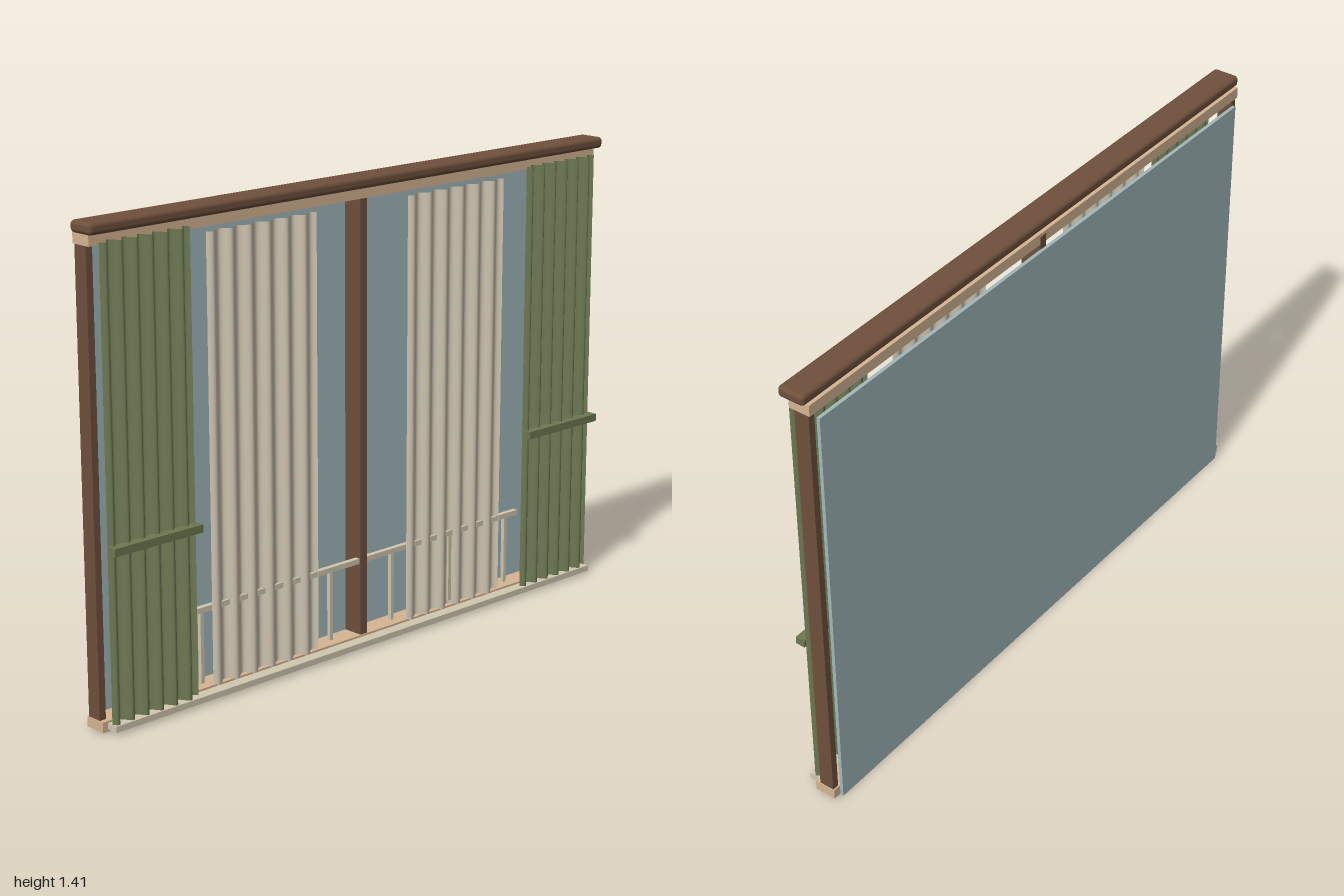
import * as THREE from 'three';
import { RoundedBoxGeometry } from 'three/addons/geometries/RoundedBoxGeometry.js';

const mat = (color, side = THREE.FrontSide) => new THREE.MeshStandardMaterial({ color, side });

export function createModel() {
  const group = new THREE.Group();
  const brown = mat(0x6f503c), tan = mat(0xd6b694), stone = mat(0xd2c8b0);
  const glass = mat(0xa2b8bb), olive = mat(0x6d7852);
  const oliveCloth = mat(0x6d7852, THREE.DoubleSide);
  const creamCloth = mat(0xd4c9b6, THREE.DoubleSide);

  const add = (name, geometry, material) => {
    const mesh = new THREE.Mesh(geometry, material);
    mesh.name = name;
    group.add(mesh);
    return mesh;
  };

  // Box given by its limits on each axis
  const box = (name, material, [x0, x1], [y0, y1], [z0, z1]) => {
    const mesh = add(name, new THREE.BoxGeometry(x1 - x0, y1 - y0, z1 - z0), material);
    mesh.position.set((x0 + x1) / 2, (y0 + y1) / 2, (z0 + z1) / 2);
    return mesh;
  };

  // Hanging cloth: a plane pushed into regular vertical folds
  const cloth = (name, material, [x0, x1], [y0, y1], z, depth, folds) => {
    const width = x1 - x0;
    const geometry = new THREE.PlaneGeometry(width, y1 - y0, folds * 12, 1);
    const p = geometry.attributes.position;
    for (let i = 0; i < p.count; i++) {
      const t = p.getX(i) / width + 0.5;
      p.setZ(i, depth * Math.sin(t * folds * Math.PI * 2));
    }
    geometry.computeVertexNormals();
    add(name, geometry, material).position.set((x0 + x1) / 2, (y0 + y1) / 2, z);
  };

  // Cornice and window frame
  const cornice = add('cornice', new RoundedBoxGeometry(2, 0.034, 0.085, 3, 0.012), brown);
  cornice.position.set(0, 1.395, -0.003);
  box('topBeam', tan, [-0.985, 0.985], [1.346, 1.38], [-0.052, 0.015]);
  box('bottomBeam', tan, [-0.985, 0.985], [0.003, 0.034], [-0.052, 0.015]);
  box('centrePost', brown, [-0.013, 0.013], [0.01, 1.37], [-0.053, 0.012]);
  box('frontSill', stone, [-0.967, 0.967], [0.01, 0.028], [0.015, 0.052]);

  // Glass behind the frame
  box('glassPane', glass, [-0.96, 0.96], [0, 1.33], [-0.063, -0.052]);

  // Low railing behind the curtains
  box('railing', stone, [-0.67, 0.67], [0.255, 0.271], [-0.008, 0.008]);
  for (const x of [-0.62, -0.372, -0.125, 0.125, 0.372, 0.62]) {
    box('baluster', stone, [x - 0.006, x + 0.006], [0.045, 0.256], [-0.006, 0.006]);
  }

  // Posts, curtains and tie bands on both sides
  for (const s of [-1, 1]) {
    const span = (a, b) => (s > 0 ? [a, b] : [-b, -a]);
    box('sidePost', brown, span(0.962, 0.983), [0.03, 1.35], [-0.047, 0]);
    cloth('sheerCurtain', creamCloth, span(0.18, 0.585), [0.03, 1.33], 0.009, 0.01, 6);
    cloth('outerCurtain', oliveCloth, span(0.66, 0.966), [0.026, 1.358], 0.033, 0.015, 6);
    box('tieBand', olive, span(0.66, 0.968), [0.514, 0.537], [0.037, 0.067]);
  }
  return group;
}
